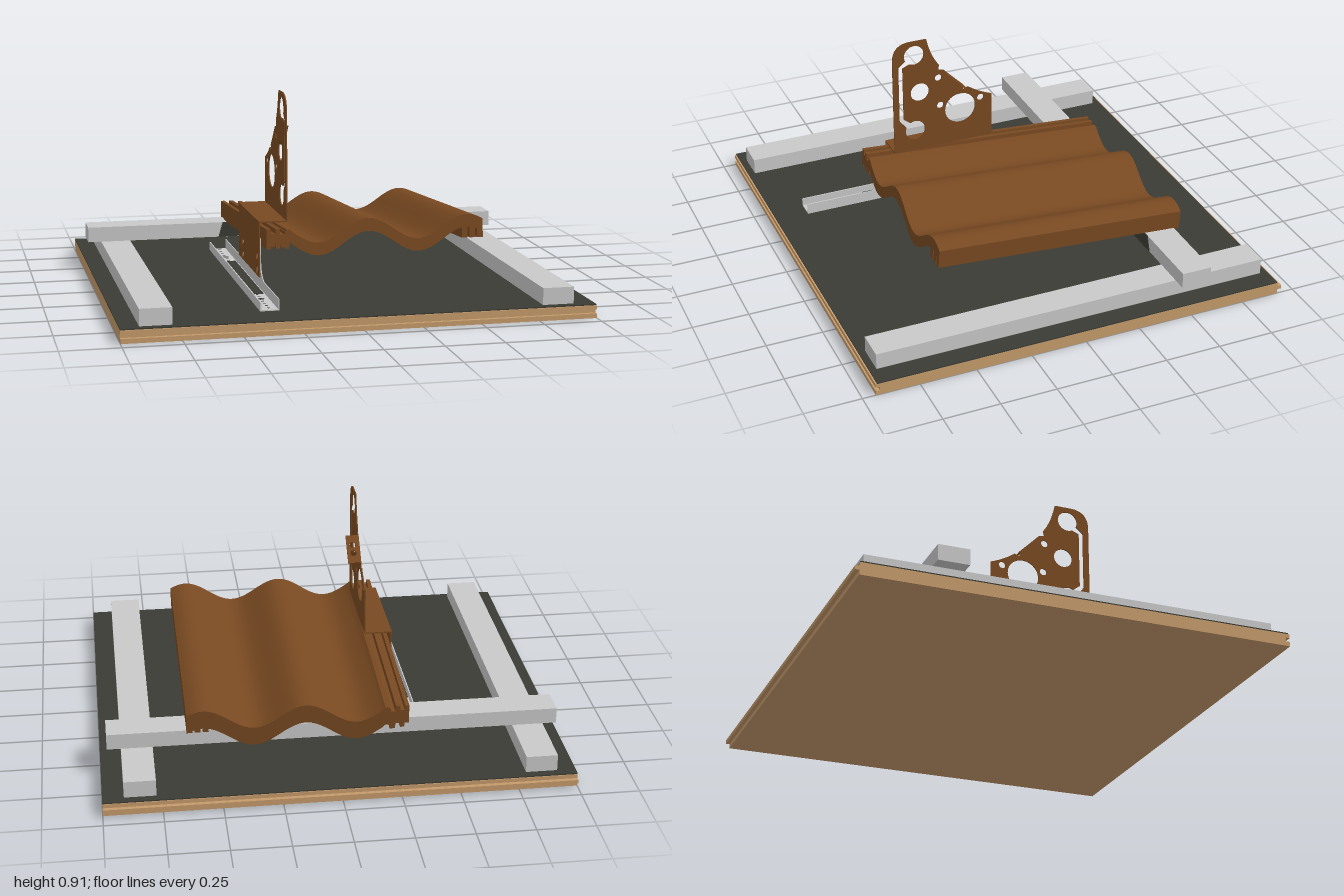
import * as THREE from 'three';
import { toCreasedNormals } from 'three/addons/utils/BufferGeometryUtils.js';

const mat = (name, color) => Object.assign(new THREE.MeshStandardMaterial({ color }), { name });

export function createModel() {
  const model = new THREE.Group();
  model.name = 'roofSample';
  const wood = mat('wood', 0xc49a6a);
  const membrane = mat('membrane', 0x3b3b35);
  const batten = mat('paleGrey', 0xc8c8c8);
  const clay = mat('clayBrown', 0x784921);

  const add = (name, geometry, material, parent = model) => {
    const mesh = new THREE.Mesh(geometry, material);
    mesh.name = name;
    parent.add(mesh);
    return mesh;
  };
  // Box from min/max corners
  const box = (name, x0, x1, y0, y1, z0, z1, material, parent) => {
    const m = add(name, new THREE.BoxGeometry(x1 - x0, y1 - y0, z1 - z0), material, parent);
    m.position.set((x0 + x1) / 2, (y0 + y1) / 2, (z0 + z1) / 2);
    return m;
  };
  const polygon = pts => new THREE.Shape(pts.map(p => new THREE.Vector2(p[0], p[1])));
  const hole = (shape, x, y, r) => shape.holes.push(new THREE.Path().absarc(x, y, r, 0, Math.PI * 2, true));
  const extrude = (shape, depth) =>
    toCreasedNormals(new THREE.ExtrudeGeometry(shape, { depth, bevelEnabled: false, curveSegments: 14 }), 0.6);
  // Upright sheet drawn in (z, y), its +x face at x
  const sideSheet = (name, shape, x, depth, material) => {
    const m = add(name, extrude(shape, depth).rotateY(-Math.PI / 2), material);
    m.position.x = x;
    return m;
  };

  // Tongue and groove deck boards
  const pitch = 0.2665;
  const board = polygon([
    [0, 0], [0, 0.02], [0.018, 0.02], [0.018, 0.037], [0, 0.037], [0, 0.054],
    [pitch, 0.054], [pitch, 0.037], [pitch + 0.018, 0.037], [pitch + 0.018, 0.02], [pitch, 0.02], [pitch, 0],
  ].map(([a, y]) => [-a, y]));
  for (let i = 0; i < 7; i++) {
    sideSheet('deckBoard', board, 1, 2, wood).position.z = 0.942 - i * pitch;
  }
  box('underlay', -1, 1, 0.054, 0.059, -0.92, 0.935, membrane);

  // Counter battens and the cross batten
  box('counterBattenRight', -0.92, -0.785, 0.059, 0.131, -0.885, 0.905, batten);
  box('counterBattenLeft', 0.775, 0.91, 0.059, 0.131, -0.885, 0.905, batten);
  box('crossBatten', -0.98, 0.97, 0.131, 0.2, -0.6, -0.465, batten);
  const patch = polygon([[-0.365, 0.132], [0.665, 0.132], [0.64, 0.2], [-0.345, 0.2]]);
  add('battenDarkFace', extrude(patch, 0.003), membrane).position.z = -0.465;

  // Corrugated tile, tilted down to the back
  const tile = new THREE.Group();
  tile.name = 'tile';
  tile.position.set(0, 0.335, 0.515);
  tile.rotation.x = -0.07;
  model.add(tile);
  const top = [
    [-0.325, 0.018], [-0.307, 0.018], [-0.305, -0.003], [-0.287, -0.003], [-0.285, 0.018], [-0.267, 0.018],
    [-0.265, -0.008], [-0.242, -0.008], [-0.24, 0.014], [-0.222, 0.012],
  ];
  for (let i = 0; i <= 48; i++) {
    const x = -0.21 + 0.84 * i / 48;
    top.push([x, 0.048 * Math.cos(2 * Math.PI * (x - 0.12) / 0.44)]);
  }
  const slab = thickness => polygon([...top, ...top.map(([x, y]) => [x, y - thickness]).reverse()]);
  const length = 1.145;
  const part = (name, thickness, z0, z1) => {
    add(name, extrude(slab(thickness), z1 - z0), clay, tile).position.z = z0;
  };
  part('tileBody', 0.03, -length, 0);
  part('frontLip', 0.055, -0.022, 0);
  part('backLip', 0.085, -length, -length + 0.025);
  // Interlocking ribs below both long edges
  for (const x of [0.545, 0.58, 0.614]) box('edgeRib', x - 0.009, x + 0.016, -0.055, 0.01, -length, 0, clay, tile);
  for (const x of [-0.316, -0.276, -0.236]) box('edgeRib', x - 0.009, x + 0.009, -0.068, 0.005, -length, 0, clay, tile);

  // Rail: perforated floor, outer lip and inner wall rising to a plate
  const floor = polygon([[-0.405, -0.48], [-0.33, -0.48], [-0.33, 0.79], [-0.405, 0.79]].map(([x, z]) => [x, -z]));
  for (let i = 0; i < 30; i++) {
    const z = -0.445 + i * 0.0414;
    const big = i === 4 || i === 25;
    hole(floor, -0.365, -z, big ? 0.016 : 0.007);
  }
  add('railFloor', extrude(floor, 0.005).rotateX(-Math.PI / 2), batten).position.y = 0.066;
  box('railFloorDark', -0.4, -0.335, 0.071, 0.073, -0.18, 0.5, membrane);
  box('railLip', -0.406, -0.401, 0.066, 0.104, -0.48, 0.79, batten);

  const wall = new THREE.Shape();
  wall.moveTo(0.79, 0.066);
  wall.lineTo(0.79, 0.115);
  wall.lineTo(0.48, 0.115);
  wall.quadraticCurveTo(0.4, 0.13, 0.4, 0.195);
  wall.lineTo(0.4, 0.29);
  wall.lineTo(-0.08, 0.27);
  wall.lineTo(-0.08, 0.195);
  wall.quadraticCurveTo(-0.08, 0.13, -0.16, 0.115);
  wall.lineTo(-0.48, 0.115);
  wall.lineTo(-0.48, 0.066);
  const through = [[0.345, 0.205], [0.345, 0.145], [0.005, 0.205], [0.005, 0.145]];
  const blind = [[0.31, 0.235], [0.31, 0.175], [-0.03, 0.235], [-0.03, 0.175], [0.055, 0.235], [0.09, 0.205]];
  [...through, ...blind].forEach(([z, y]) => hole(wall, z, y, 0.014));
  sideSheet('railWall', wall, -0.326, 0.004, batten);

  // Bracket: drop plate, shelf and upright plate
  const drop = polygon([[-0.086, 0.12], [0.398, 0.12], [0.398, 0.362], [-0.086, 0.362]]);
  through.forEach(([z, y]) => hole(drop, z, y, 0.018));
  sideSheet('bracketDrop', drop, -0.33, 0.005, clay);
  box('bracketShelf', -0.335, -0.212, 0.358, 0.364, -0.086, 0.398, clay);

  const plate = new THREE.Shape();
  plate.moveTo(0.398, 0.36);
  plate.lineTo(0.398, 0.82);
  plate.quadraticCurveTo(0.398, 0.91, 0.31, 0.91);
  plate.lineTo(0.235, 0.91);
  plate.quadraticCurveTo(0.215, 0.82, 0.175, 0.77);
  plate.lineTo(0.18, 0.745);
  plate.lineTo(0.155, 0.74);
  plate.lineTo(0.06, 0.645);
  plate.lineTo(0.06, 0.62);
  plate.lineTo(0.035, 0.63);
  plate.quadraticCurveTo(-0.02, 0.59, -0.08, 0.57);
  plate.lineTo(-0.08, 0.36);
  [[0.27, 0.65, 0.044], [0.075, 0.53, 0.074], [0.18, 0.705, 0.016], [0.172, 0.563, 0.016], [-0.025, 0.563, 0.016]]
    .forEach(([z, y, r]) => hole(plate, z, y, r));
  // Long slot joining two round openings
  const slot = new THREE.Path();
  slot.moveTo(0.37, 0.52);
  slot.lineTo(0.37, 0.79);
  slot.absarc(0.295, 0.84, 0.047, -0.45, 5.2, false);
  slot.lineTo(0.35, 0.785);
  slot.lineTo(0.35, 0.525);
  slot.absarc(0.295, 0.46, 0.047, 1.05, 6.73, false);
  slot.closePath();
  plate.holes.push(slot);
  sideSheet('bracketPlate', plate, -0.21, 0.005, clay);

  // Small bent tab on the sloping edge
  const tab = polygon([[-0.028, -0.067], [0.028, -0.067], [0.028, 0.067], [-0.028, 0.067]]);
  for (const y of [-0.02, 0.02]) hole(tab, 0, y, 0.014);
  const tabMesh = add('bracketTab', extrude(tab, 0.005), clay);
  tabMesh.rotation.x = Math.PI / 4;
  tabMesh.position.set(-0.183, 0.694, 0.107);

  return model;
}
